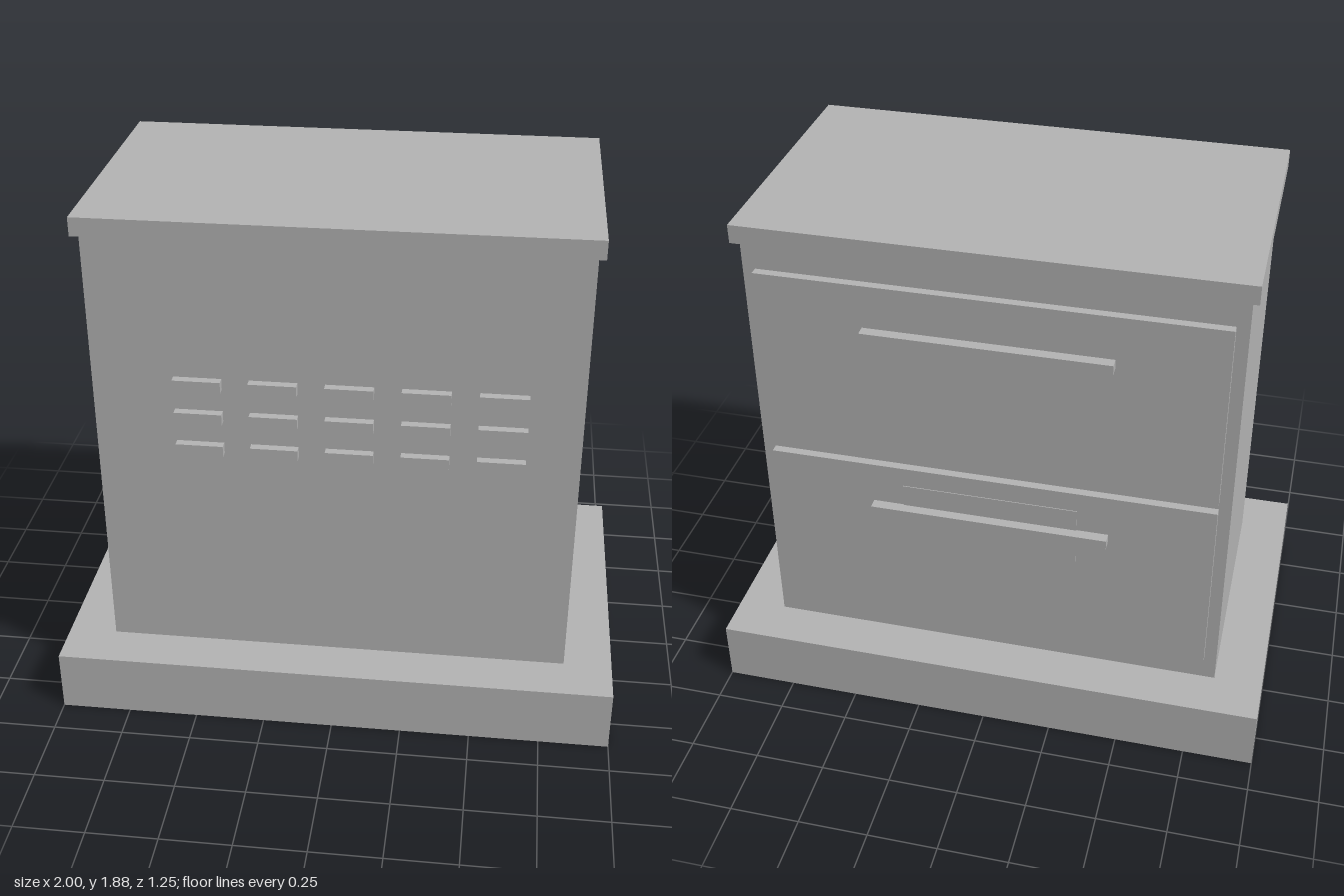
import * as THREE from 'three';

export function createModel() {
  const group = new THREE.Group();
  const grey = new THREE.MeshStandardMaterial({ color: 0xb3b3b3 });
  grey.name = 'grey';

  // Box given by its lower and upper limits on each axis
  function addBox(name, [x0, x1], [y0, y1], [z0, z1]) {
    const mesh = new THREE.Mesh(new THREE.BoxGeometry(x1 - x0, y1 - y0, z1 - z0), grey);
    mesh.position.set((x0 + x1) / 2, (y0 + y1) / 2, (z0 + z1) / 2);
    mesh.name = name;
    group.add(mesh);
  }

  // Plinth, cabinet and lid
  addBox('base', [-1, 1], [0, 0.227], [-0.625, 0.625]);
  addBox('body', [-0.828, 0.828], [0.227, 1.82], [-0.457, 0.457]);
  addBox('lid', [-0.85, 0.85], [1.82, 1.885], [-0.487, 0.487]);

  // Two drawer fronts with bar handles on the back
  for (const [name, y] of [['lower', 0.325], ['upper', 1.04]]) {
    addBox(name + 'Drawer', [-0.785, 0.785], [y, y + 0.678], [-0.487, -0.457]);
    addBox(name + 'Handle', [-0.42, 0.42], [y + 0.487, y + 0.522], [-0.525, -0.487]);
  }

  // Thin plate behind the lower handle
  addBox('drawerPlate', [-0.31, 0.31], [0.68, 0.93], [-0.49, -0.487]);

  // Grid of raised vent bars on the front
  for (let row = 0; row < 3; row++) {
    for (let col = 0; col < 5; col++) {
      const x = -0.465 + 0.257 * col;
      const y = 1.052 + 0.123 * row;
      addBox('ventBar', [x - 0.082, x + 0.082], [y - 0.02, y + 0.02], [0.457, 0.487]);
    }
  }

  return group;
}
